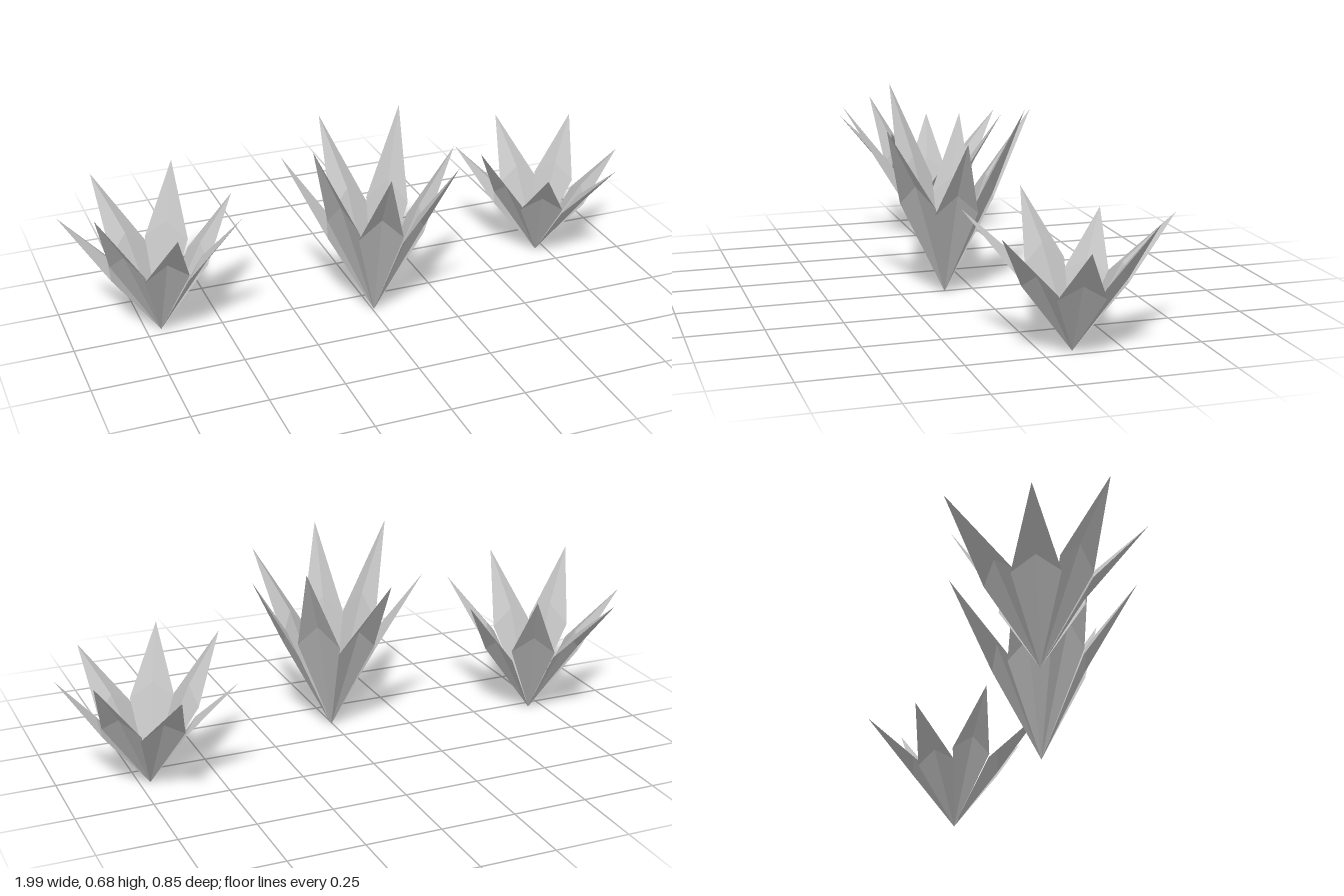
import * as THREE from 'three';

const LEAVES = 7;

// One pointed leaf, bent outward at its shoulders, running from the root to the tip.
function leafGeometry(angle, reach, height) {
  const out = new THREE.Vector3(Math.cos(angle), 0, Math.sin(angle));
  const side = new THREE.Vector3(-Math.sin(angle), 0, Math.cos(angle));
  const at = (r, y, s) => out.clone().multiplyScalar(r).addScaledVector(side, s).setY(y);
  const root = at(0, 0, 0);
  const left = at(0.147, 0.54 * height, -0.073);
  const right = at(0.147, 0.54 * height, 0.073);
  const fold = at(0.16, 0.655 * height, 0);
  const tip = at(reach, height, 0);
  const geometry = new THREE.BufferGeometry().setFromPoints([
    root, left, fold, root, fold, right,
    left, tip, fold, fold, tip, right,
  ]);
  geometry.computeVertexNormals();
  return geometry;
}

// A rosette of leaves whose reach and height vary in short repeating cycles.
function makePlant(name, x, z, turn, height, material) {
  const plant = new THREE.Group();
  plant.name = name;
  plant.position.set(x, 0, z);
  for (let i = 0; i < LEAVES; i++) {
    const angle = turn + (i / LEAVES) * Math.PI * 2;
    const reach = 0.281 + 0.026 * (i % 3);
    const leaf = new THREE.Mesh(leafGeometry(angle, reach, height * (1 + 0.071 * (i % 4))), material);
    leaf.name = 'leaf';
    plant.add(leaf);
  }
  return plant;
}

export function createModel() {
  const model = new THREE.Group();
  model.name = 'spikyPlants';
  const leafGrey = new THREE.MeshStandardMaterial({ color: 0xbfbfbf, side: THREE.DoubleSide, flatShading: true });
  leafGrey.name = 'leaf grey';

  model.add(
    makePlant('rightPlant', -0.701, -0.034, -0.2, 0.429, leafGrey),
    makePlant('middlePlant', 0.005, 0.1, 0, 0.557, leafGrey),
    makePlant('leftPlant', 0.715, -0.094, 0.175, 0.374, leafGrey),
  );
  return model;
}
